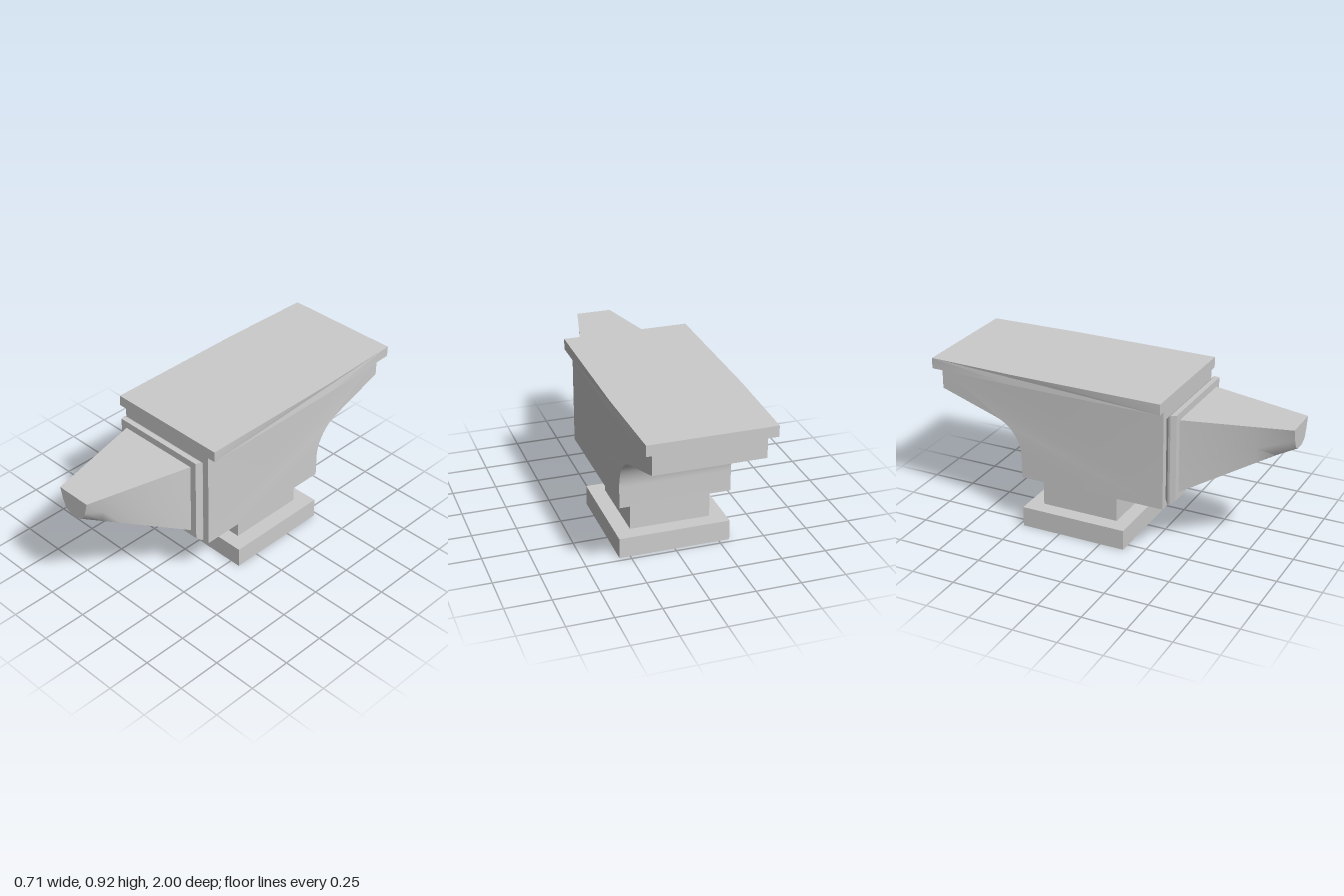
import * as THREE from 'three';
import { toCreasedNormals } from 'three/addons/utils/BufferGeometryUtils.js';

const material = new THREE.MeshStandardMaterial({ color: 0xcccccc });
const shellMaterial = new THREE.MeshStandardMaterial({ color: 0xcccccc, side: THREE.DoubleSide });

// Skin a list of matching rings (counter-clockwise seen from the last ring's end)
function loft(rings, capped, crease) {
  const pos = [];
  const tri = (a, b, c) => pos.push(...a, ...b, ...c);
  const n = rings[0].length;
  for (let i = 0; i < rings.length - 1; i++) {
    for (let j = 0; j < n; j++) {
      const k = (j + 1) % n;
      const [a, b, c, d] = [rings[i][j], rings[i][k], rings[i + 1][k], rings[i + 1][j]];
      tri(a, b, c);
      tri(a, c, d);
    }
  }
  if (capped) {
    const first = rings[0];
    const last = rings[rings.length - 1];
    for (let j = 1; j < n - 1; j++) {
      tri(last[0], last[j], last[j + 1]);
      tri(first[0], first[j + 1], first[j]);
    }
  }
  const geo = new THREE.BufferGeometry();
  geo.setAttribute('position', new THREE.Float32BufferAttribute(pos, 3));
  geo.computeVertexNormals();
  return toCreasedNormals(geo, crease);
}

// Extrude a side profile across x, then narrow it slightly towards the heel
function taperedSlab(shape, halfWidth) {
  const geo = new THREE.ExtrudeGeometry(shape, { depth: 2 * halfWidth, bevelEnabled: false, curveSegments: 14 });
  geo.translate(0, 0, -halfWidth);
  geo.rotateY(Math.PI / 2);
  const p = geo.attributes.position;
  for (let i = 0; i < p.count; i++) {
    const t = Math.max(0, (-0.47 - p.getZ(i)) / 0.53);
    p.setX(i, p.getX(i) * (1 - 0.042 * t));
  }
  geo.computeVertexNormals();
  return toCreasedNormals(geo, 0.4);
}

export function createModel() {
  const group = new THREE.Group();
  const add = (name, geo, mat = material) => {
    const mesh = new THREE.Mesh(geo, mat);
    mesh.name = name;
    group.add(mesh);
  };

  // Body with the curved underside of the heel (profile x runs towards the back)
  const body = new THREE.Shape();
  body.moveTo(-0.37, 0.3);
  body.lineTo(0.475, 0.3);
  body.lineTo(0.475, 0.42);
  body.absarc(0.695, 0.42, 0.22, Math.PI, 1.879, true);
  body.lineTo(0.965, 0.735);
  body.lineTo(0.965, 0.86);
  body.lineTo(0.47, 0.86);
  body.lineTo(-0.37, 0.86);
  add('body', taperedSlab(body, 0.308));

  // Overhanging top plate
  const plate = new THREE.Shape();
  [[-0.37, 0.86], [0.47, 0.86], [1, 0.86], [1, 0.92], [0.47, 0.92], [-0.37, 0.92]]
    .forEach(([x, y], i) => (i ? plate.lineTo(x, y) : plate.moveTo(x, y)));
  add('topPlate', taperedSlab(plate, 0.353));

  // Bevelled collar between body and horn: half width, bottom, top, z
  const collarRings = [
    [0.265, 0.35, 0.8, 0.365],
    [0.287, 0.325, 0.83, 0.388],
    [0.288, 0.328, 0.838, 0.4],
    [0.278, 0.352, 0.84, 0.43],
  ].map(([w, b, t, z]) => [[w, b, z], [w, t, z], [-w, t, z], [-w, b, z]]);
  add('collar', loft(collarRings, true, 0.3));

  // Horn: rectangular root lofted to a small tip with a rounded underside
  const mirrored = (half, z) => [
    ...half.map(([x, y]) => [x, y, z]),
    ...half.slice(1).reverse().map(([x, y]) => [-x, y, z]),
  ];
  const root = [[0, 0.385], [0.12, 0.385], [0.24, 0.385], [0.24, 0.55], [0.24, 0.8]];
  const tip = [[0, 0.67], [0.03, 0.672], [0.064, 0.69], [0.083, 0.735], [0.1, 0.8]];
  const steps = 6;
  const hornRings = [];
  for (let i = 0; i <= steps; i++) {
    const t = i / steps;
    const half = root.map(([x, y], j) => [x + (tip[j][0] - x) * t, y + (tip[j][1] - y) * t]);
    hornRings.push(mirrored(half, 0.43 + 0.57 * t));
  }
  add('horn', loft(hornRings, true, 1));

  // Stepped pedestal, hollow from below: half width, back z, front z, height
  const pedestalRings = [
    [0.31, -0.475, 0.14, 0],
    [0.31, -0.475, 0.14, 0.115],
    [0.224, -0.39, 0.06, 0.115],
    [0.224, -0.39, 0.06, 0.3],
  ].map(([w, b, f, y]) => [[w, y, f], [w, y, b], [-w, y, b], [-w, y, f]]);
  add('pedestal', loft(pedestalRings, false, 0.3), shellMaterial);

  return group;
}
